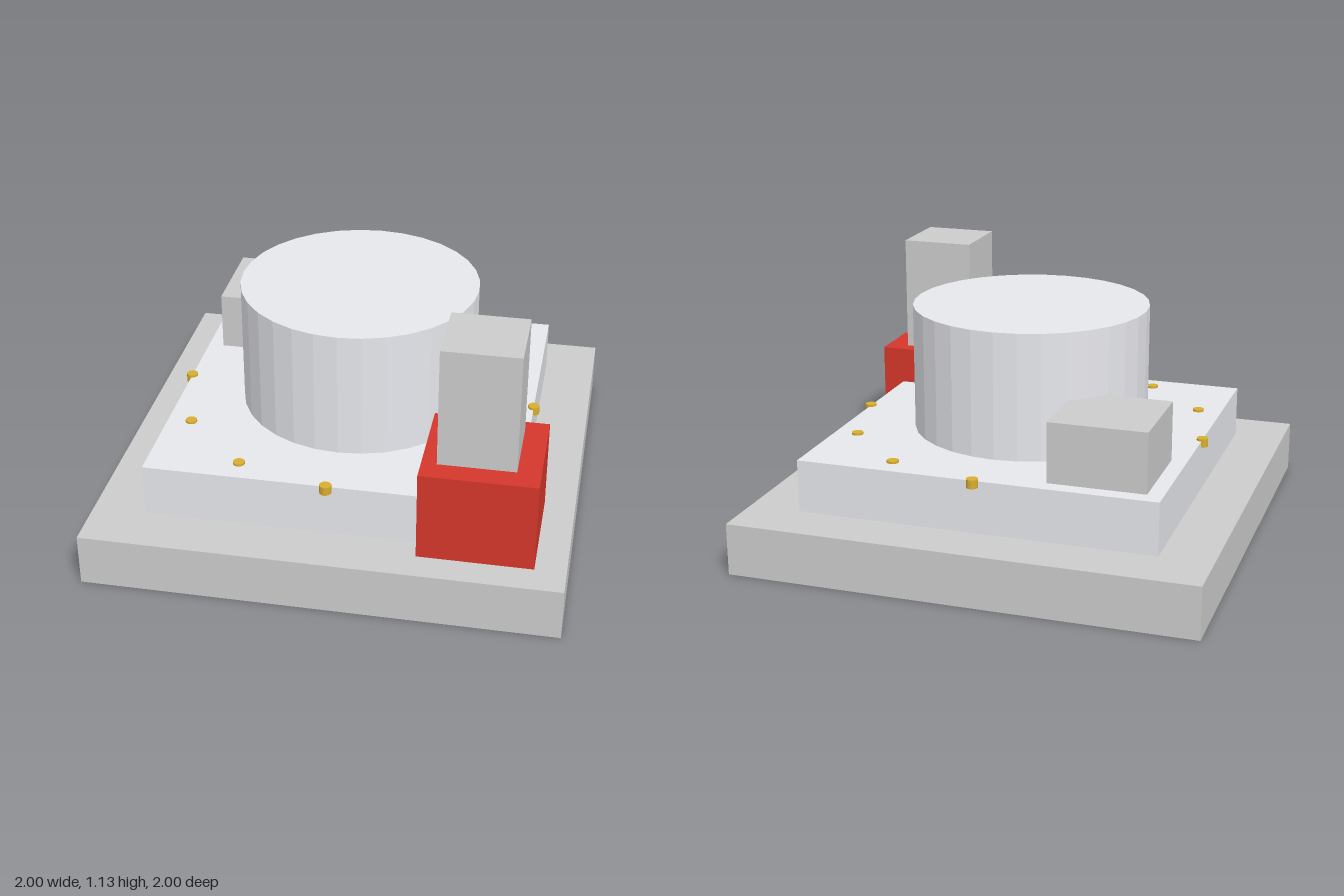
import * as THREE from 'three';

const material = (color) => new THREE.MeshStandardMaterial({ color, flatShading: true });

export function createModel() {
  const model = new THREE.Group();
  model.name = 'steppedPedestal';

  const grey = material(0xcccccc);
  const steel = material(0xe6e7ec);
  const red = material(0xd4372b);
  const gold = material(0xd9ad2e);

  function add(name, geometry, mat, x, y, z, parent = model) {
    const mesh = new THREE.Mesh(geometry, mat);
    mesh.name = name;
    mesh.position.set(x, y, z);
    parent.add(mesh);
    return mesh;
  }

  // Box with a square footprint, placed by its bottom and top heights
  const block = (name, mat, width, bottom, top, x = 0, z = 0) =>
    add(name, new THREE.BoxGeometry(width, top - bottom, width), mat, x, (bottom + top) / 2, z);

  // Stacked slabs
  block('basePlate', grey, 2, 0, 0.225);
  block('upperPlate', steel, 1.55, 0.225, 0.452);

  // Central drum
  add('drum', new THREE.CylinderGeometry(0.515, 0.515, 0.55, 32), steel, 0, 0.727, 0);

  // Corner blocks
  block('rearBlock', grey, 0.415, 0.452, 0.71, -0.5, -0.5);
  block('cornerBlock', red, 0.48, 0.225, 0.615, 0.63, 0.63);
  block('cornerPost', grey, 0.32, 0.615, 1.13, 0.613, 0.613);

  // Ring of twelve studs
  const studs = new THREE.Group();
  studs.name = 'studs';
  model.add(studs);
  const studGeometry = new THREE.CylinderGeometry(0.025, 0.025, 0.037, 16);
  for (let i = 0; i < 12; i++) {
    const angle = (i / 12) * Math.PI * 2;
    add('stud', studGeometry, gold, 0.775 * Math.cos(angle), 0.443, 0.775 * Math.sin(angle), studs);
  }

  return model;
}
